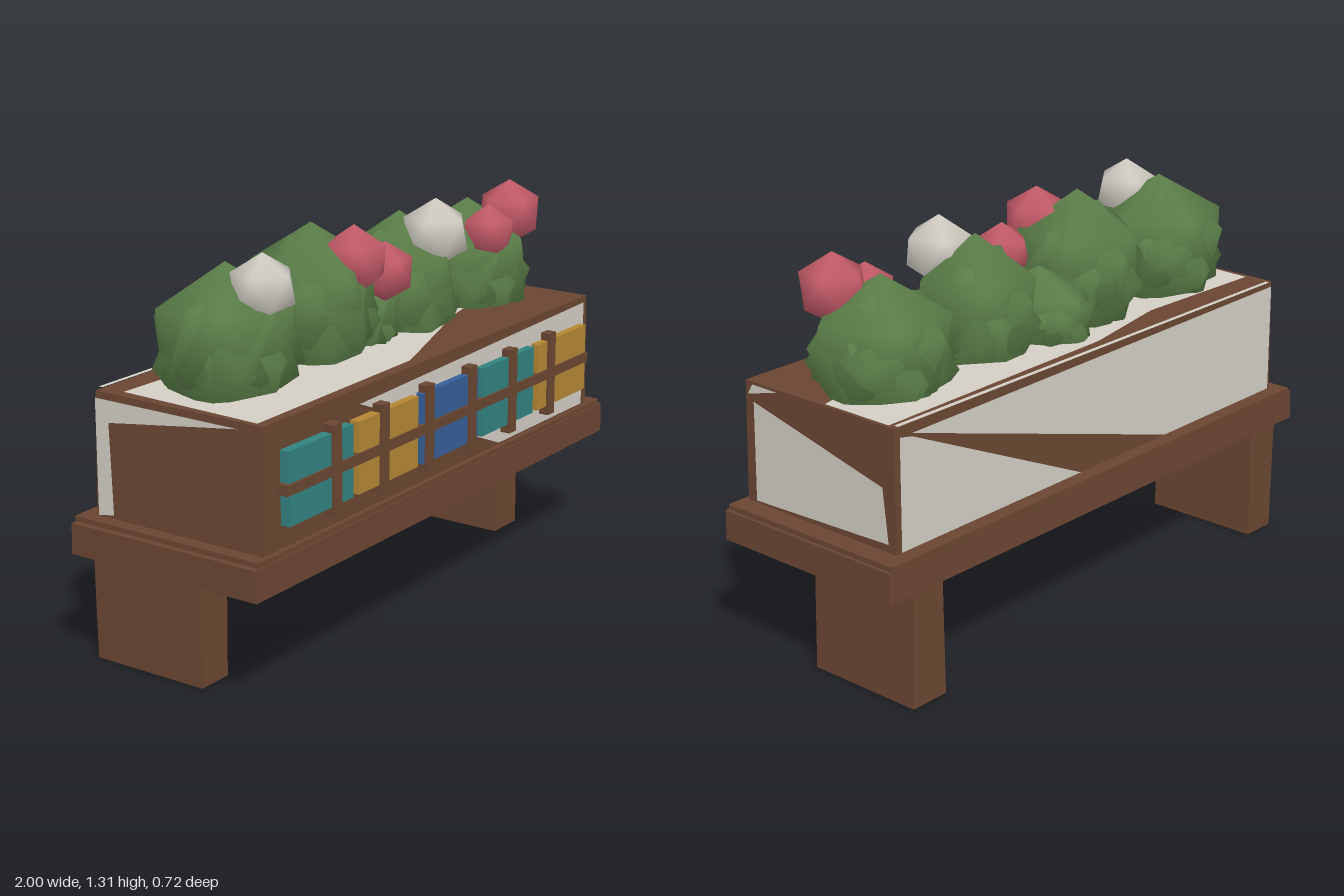
import * as THREE from 'three';
import { mergeVertices } from 'three/addons/utils/BufferGeometryUtils.js';

const mat = (name, color, side = THREE.FrontSide) => {
  const m = new THREE.MeshStandardMaterial({ color, side });
  m.name = name;
  return m;
};

export function createModel() {
  const model = new THREE.Group();
  model.name = 'flowerPlanter';
  const wood = mat('brown wood', 0x6b4632);
  const white = mat('off white', 0xd2cec5, THREE.DoubleSide);
  const leaf = mat('leaf green', 0x5c8049);
  const pink = mat('petal pink', 0xc65c6a);
  const teal = mat('teal', 0x328380);
  const ochre = mat('ochre', 0xb58834);
  const blue = mat('blue', 0x365f98);

  const add = (name, geometry, material) => {
    const mesh = new THREE.Mesh(geometry, material);
    mesh.name = name;
    model.add(mesh);
    return mesh;
  };

  // Box from [min, max] ranges; taper pulls in the chosen end along x and z
  const block = (name, [x0, x1], [y0, y1], [z0, z1], material, top = [0, 0], bottom = [0, 0]) => {
    const g = new THREE.BoxGeometry(x1 - x0, y1 - y0, z1 - z0);
    const p = g.attributes.position;
    for (let i = 0; i < p.count; i++) {
      const d = p.getY(i) > 0 ? top : bottom;
      p.setX(i, p.getX(i) - Math.sign(p.getX(i)) * d[0]);
      p.setZ(i, p.getZ(i) - Math.sign(p.getZ(i)) * d[1]);
    }
    g.translate((x0 + x1) / 2, (y0 + y1) / 2, (z0 + z1) / 2);
    g.computeVertexNormals();
    return add(name, g, material);
  };

  // Bench: top board in two layers and two slab legs
  block('benchBoard', [-1, 1], [0.38, 0.48], [-0.36, 0.345], wood, [0, 0.003]);
  block('benchBoardTop', [-0.98, 0.99], [0.47, 0.497], [-0.36, 0.338], wood);
  block('leftLeg', [0.77, 0.91], [0.005, 0.39], [-0.358, 0.055], wood, [0.007, 0]);
  block('rightLeg', [-0.905, -0.77], [0.005, 0.39], [-0.358, 0.055], wood, [0, 0], [0.006, 0]);

  // Planter trough
  block('trough', [-0.935, 0.922], [0.49, 0.888], [-0.31, 0.322], wood, [0.007, 0.003]);

  // Flat white paint patches, laid on the faces of the trough
  const patch = (name, points, position, rotation) => {
    const shape = new THREE.Shape(points.map(([x, y]) => new THREE.Vector2(x, y)));
    const m = add(name, new THREE.ShapeGeometry(shape), white);
    m.position.set(...position);
    m.rotation.set(...rotation);
  };
  const H = Math.PI / 2;
  patch('frontPaint', [[-0.46, 0.84], [0.34, 0.505], [0.885, 0.505], [0.885, 0.87]],
    [0, 0, 0.326], [0, 0, 0]);
  patch('backPaintLow', [[-0.9, 0.5], [-0.09, 0.5], [-0.85, 0.85], [-0.9, 0.86]],
    [0, 0, -0.314], [0, 2 * H, 0]);
  patch('backPaintHigh', [[-0.85, 0.86], [0.34, 0.5], [0.92, 0.5], [0.92, 0.872]],
    [0, 0, -0.314], [0, 2 * H, 0]);
  patch('leftPaint', [[-0.275, 0.83], [-0.28, 0.505], [0.285, 0.525], [0.265, 0.7]],
    [0.926, 0, 0], [0, H, 0]);
  patch('leftCornerPaint', [[-0.3, 0.85], [-0.17, 0.884], [-0.28, 0.884]],
    [0.925, 0, 0], [0, H, 0]);
  patch('rightPaint', [[-0.3, 0.5], [-0.24, 0.51], [-0.25, 0.8], [0.24, 0.87], [-0.3, 0.87]],
    [-0.939, 0, 0], [0, -H, 0]);
  patch('topPaint', [[-0.92, -0.295], [-0.13, -0.285], [0.4, -0.1], [0.91, 0.02], [0.91, 0.28],
    [-0.05, 0.265], [-0.4, 0.2], [-0.9, 0.22]], [0, 0.892, 0], [-H, 0, 0]);
  patch('topBackEdge', [[-0.9, 0.303], [0.9, 0.292], [0.9, 0.308], [-0.9, 0.318]],
    [0, 0.892, 0], [-H, 0, 0]);

  // Coloured front panels
  [teal, ochre, blue, teal, ochre].forEach((m, i) => {
    const x = -0.69 + i * 0.347;
    block('panel', [x - 0.16, x + 0.16], [0.57, 0.8], [0.32, 0.352], m);
  });

  // Lattice of six uprights and one rail
  for (let i = 0; i < 6; i++) {
    const x = -0.62 + i * 0.248;
    block('latticeUpright', [x - 0.021, x + 0.021], [0.54, 0.825], [0.32, 0.36], wood);
  }
  block('latticeRail', [-0.865, 0.865], [0.668, 0.702], [0.32, 0.358], wood);

  // Smooth-shaded icosahedron standing on a corner
  const ball = new THREE.IcosahedronGeometry(1, 0);
  ball.deleteAttribute('uv');
  ball.deleteAttribute('normal');
  const smoothBall = mergeVertices(ball);
  smoothBall.rotateX(-Math.atan((1 + Math.sqrt(5)) / 2));
  smoothBall.computeVertexNormals();

  // Bushes: overlapping balls turned against each other [x, y, z, rx, ry, rz, turn]
  [
    [-0.66, 1.04, -0.02, 0.245, 0.23, 0.235, 0.3],
    [-0.225, 1.07, -0.025, 0.23, 0.24, 0.23, 0.9],
    [0.0, 0.96, -0.06, 0.155, 0.15, 0.2, 0.5],
    [0.25, 1.03, -0.015, 0.21, 0.235, 0.215, 1.2],
    [0.67, 1.01, -0.02, 0.25, 0.225, 0.23, 0.1],
  ].forEach(([x, y, z, rx, ry, rz, turn]) => {
    const bush = new THREE.Group();
    bush.name = 'bush';
    bush.position.set(x, y, z);
    bush.scale.set(rx, ry, rz);
    for (const [s, tilt, spin, drop] of [[1, 0, turn, 0], [1, 0.6, turn + 1.4, -0.12], [0.97, -0.5, turn + 2.6, -0.28]]) {
      const lump = new THREE.Mesh(smoothBall, leaf);
      lump.name = 'foliage';
      lump.scale.setScalar(s);
      lump.rotation.set(tilt, spin, tilt * 0.5);
      lump.position.y = drop;
      bush.add(lump);
    }
    model.add(bush);
  });

  // Blossoms [x, y, radius, material]
  [
    [-0.635, 1.2, 0.108, white],
    [-0.17, 1.195, 0.113, pink],
    [0.0, 1.125, 0.098, pink],
    [0.29, 1.195, 0.117, white],
    [0.615, 1.14, 0.095, pink],
    [0.75, 1.185, 0.113, pink],
  ].forEach(([x, y, r, m], i) => {
    const b = add('blossom', smoothBall, m);
    b.position.set(x, y, 0.1);
    b.scale.setScalar(r);
    b.rotation.y = i * 0.4;
  });

  return model;
}
